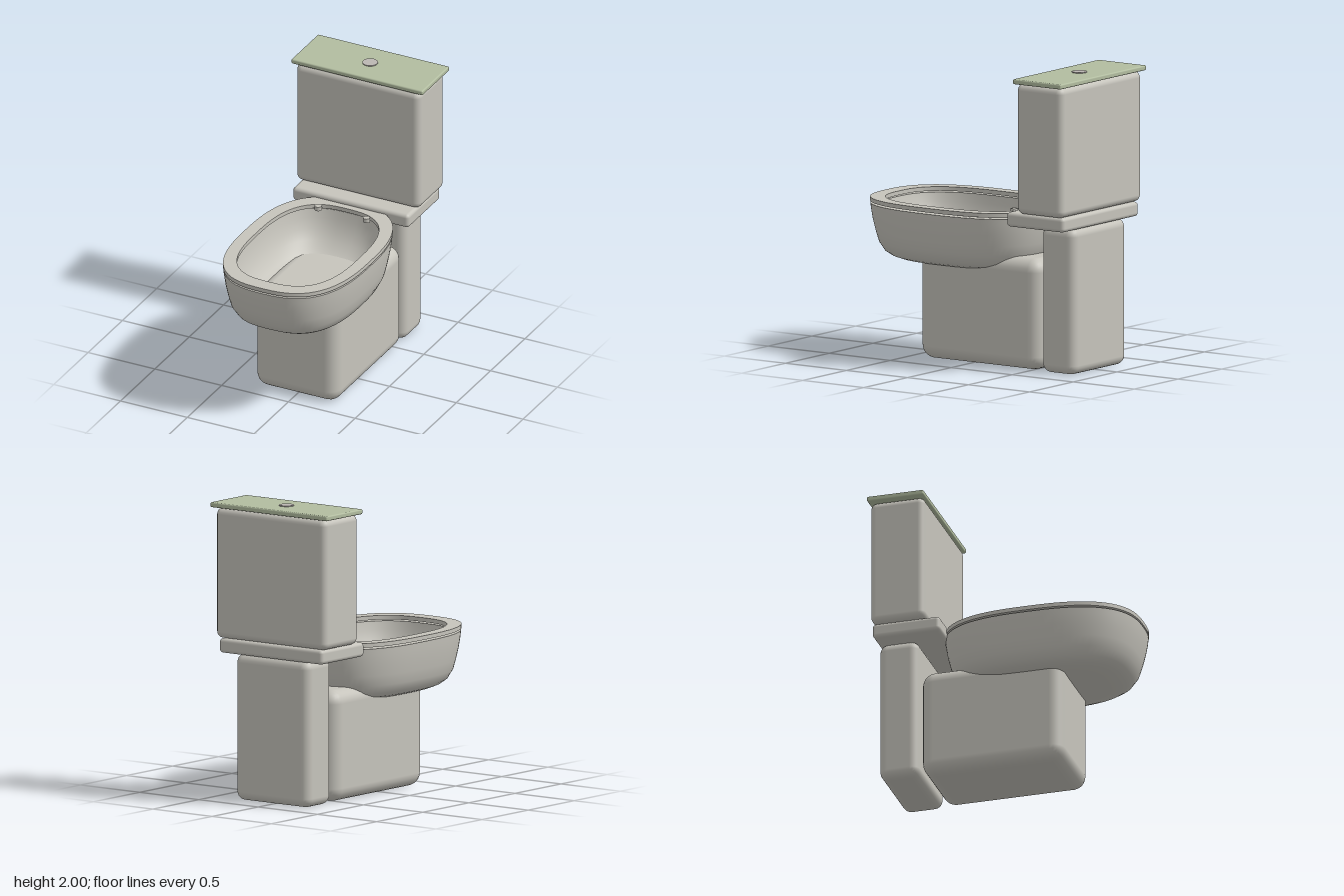
import * as THREE from 'three';
import { toCreasedNormals } from 'three/addons/utils/BufferGeometryUtils.js';
import { RoundedBoxGeometry } from 'three/addons/geometries/RoundedBoxGeometry.js';

const CENTRE_Z = 0.215; // middle of the bowl opening

// Rounded-oval rings, each [half width, half length, y, exponent], joined in order.
function loft(rings, segments = 72) {
  const pos = [], index = [];
  const power = (v, n) => Math.sign(v) * Math.abs(v) ** (2 / n);
  rings.forEach(([w, l, y, n]) => {
    for (let j = 0; j < segments; j++) {
      const a = (j / segments) * Math.PI * 2;
      pos.push(w * power(Math.cos(a), n), y, CENTRE_Z + l * power(Math.sin(a), n));
    }
  });
  for (let i = 0; i < rings.length - 1; i++) {
    for (let j = 0; j < segments; j++) {
      const a = i * segments + j, b = i * segments + (j + 1) % segments;
      index.push(a, a + segments, b, b, a + segments, b + segments);
    }
  }
  const g = new THREE.BufferGeometry();
  g.setAttribute('position', new THREE.Float32BufferAttribute(pos, 3));
  g.setIndex(index);
  return toCreasedNormals(g, 0.7);
}

export function createModel() {
  const group = new THREE.Group();
  const material = (name, color) => {
    const m = new THREE.MeshStandardMaterial({ color });
    m.name = name;
    return m;
  };
  const ceramic = material('ceramic', 0xc6c4bc);
  const green = material('pale green', 0xb2bda0);
  const metal = material('button grey', 0xbcb7b3);

  const add = (name, geometry, mat) => {
    const mesh = new THREE.Mesh(geometry, mat);
    mesh.name = name;
    group.add(mesh);
    return mesh;
  };
  // Rounded block from half width, y range, z range and edge radius.
  const block = (name, hw, y0, y1, z0, z1, r, mat = ceramic) => {
    const mesh = add(name, new RoundedBoxGeometry(hw * 2, y1 - y0, z1 - z0, 3, r), mat);
    mesh.position.set(0, (y0 + y1) / 2, (z0 + z1) / 2);
  };

  // Base, rear column, shelf, tank and lid
  block('pedestal', 0.312, 0, 0.75, -0.575, 0.412, 0.09);
  block('rearColumn', 0.31, 0, 0.99, -0.865, -0.59, 0.06);
  block('shelf', 0.435, 0.982, 1.08, -0.87, -0.402, 0.025);
  block('tank', 0.464, 1.08, 1.96, -0.877, -0.5, 0.045);
  block('tankLid', 0.492, 1.96, 1.994, -0.89, -0.496, 0.01, green);

  // Bowl shell: up the outside, over the rim, down the inside
  const outer = [[0, 0.633], [0.35, 0.634], [0.6, 0.64], [0.7, 0.648], [0.78, 0.664], [0.85, 0.692],
    [0.91, 0.75], [0.942, 0.82], [0.972, 0.9], [0.99, 0.97], [0.997, 1.01]];
  const inner = [[0.87, 1.01], [0.85, 0.95], [0.81, 0.88], [0.75, 0.815], [0.65, 0.752],
    [0.52, 0.713], [0.35, 0.69], [0, 0.68]];
  const ring = n => ([s, y]) => [0.47 * s, 0.675 * s, y, n];
  add('bowl', loft([...outer.map(ring(2.7)), ...inner.map(ring(2.8))]), ceramic);

  // Seat ring hovering just above the rim
  add('seat', loft([
    [0.385, 0.57, 1.022, 2.8], [0.47, 0.675, 1.022, 2.7], [0.47, 0.675, 1.05, 2.7],
    [0.385, 0.57, 1.05, 2.8], [0.385, 0.57, 1.022, 2.8],
  ]), ceramic);

  // Hinge posts
  for (const side of [-1, 1]) {
    const post = add(side > 0 ? 'leftHinge' : 'rightHinge',
      new THREE.CylinderGeometry(0.024, 0.024, 0.03, 24), ceramic);
    post.position.set(side * 0.181, 1.046, -0.288);
  }

  // Flush button with a thin raised bar across it
  add('flushButton', new THREE.CylinderGeometry(0.051, 0.051, 0.012, 32), metal)
    .position.set(0, 1.994, -0.692);

  return group;
}
